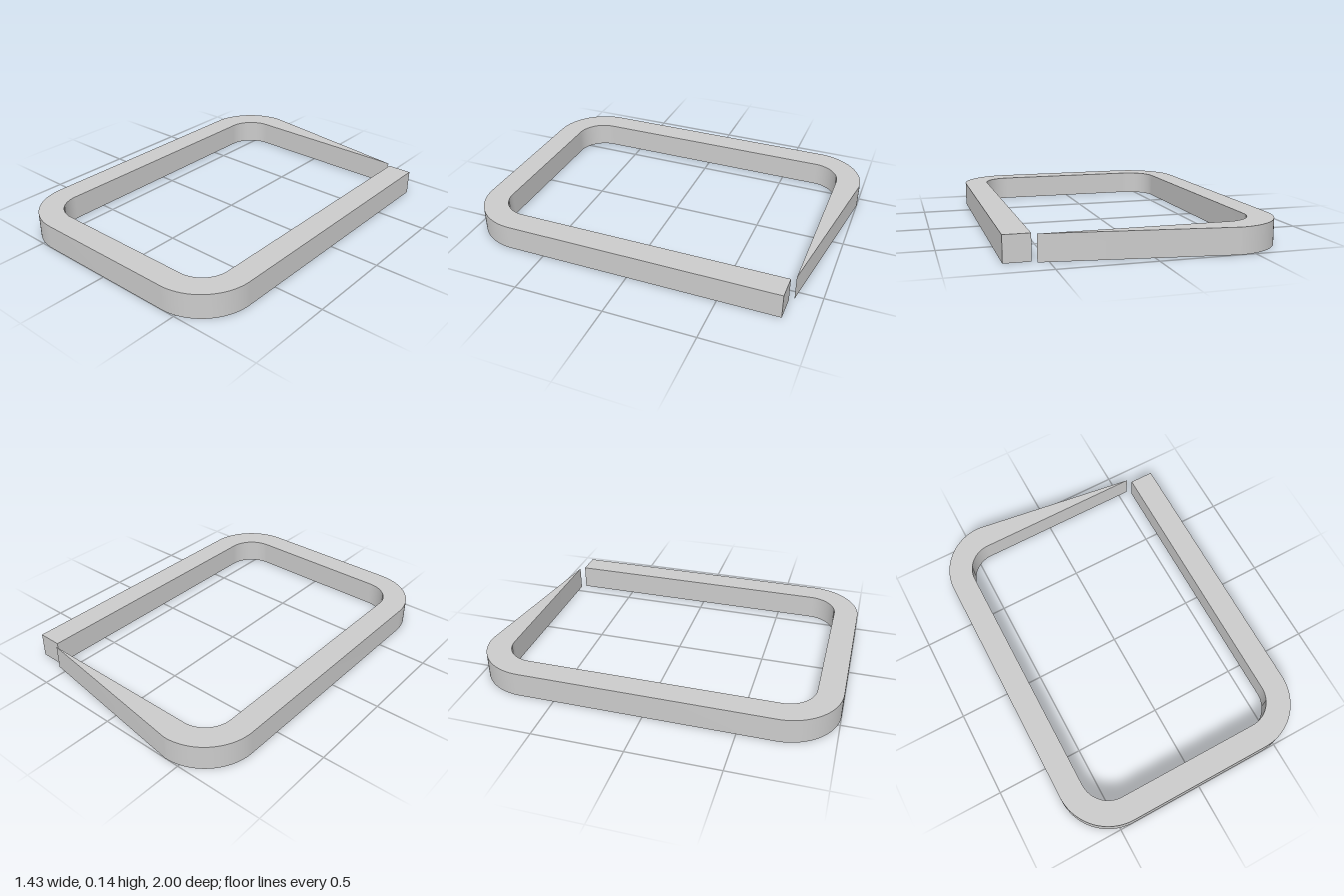
import * as THREE from 'three';
import { toCreasedNormals } from 'three/addons/utils/BufferGeometryUtils.js';

const W = 0.717, L = 1;         // outer half width and half length
const T = 0.138;                // square bar thickness
const R = 0.3;                  // outer corner radius
const BACK_END = 0.557;         // x where the back bar stops
const SIDE_END = 0.838;         // distance back where the side bar stops

export function createModel() {
  const group = new THREE.Group();
  group.name = 'openFrame';

  // Plan outline, shape y pointing to the back
  const cx = W - R, cy = L - R, r = R - T, P = Math.PI;
  const outline = new THREE.Shape();
  outline.moveTo(BACK_END, L);
  // outer edge: back left corner, front left corner, front right corner
  outline.absarc(-cx, cy, R, P / 2, P, false);
  outline.absarc(-cx, -cy, R, P, 1.5 * P, false);
  outline.absarc(cx, -cy, R, 1.5 * P, 2 * P, false);
  outline.lineTo(W, SIDE_END);
  outline.lineTo(W - T, SIDE_END);
  // inner edge, returning the other way
  outline.absarc(cx, -cy, r, 2 * P, 1.5 * P, true);
  outline.absarc(-cx, -cy, r, 1.5 * P, P, true);
  outline.absarc(-cx, cy, r, P, P / 2, true);
  outline.lineTo(BACK_END, L - T);
  outline.closePath();

  // Bent bar with smooth corners and crisp edges
  const bar = new THREE.ExtrudeGeometry(outline, { depth: T, bevelEnabled: false, curveSegments: 24 });
  bar.rotateX(-P / 2);
  const mesh = new THREE.Mesh(toCreasedNormals(bar, P / 6), new THREE.MeshStandardMaterial({ color: 0xcccccc }));
  mesh.name = 'bentBar';
  group.add(mesh);
  return group;
}
